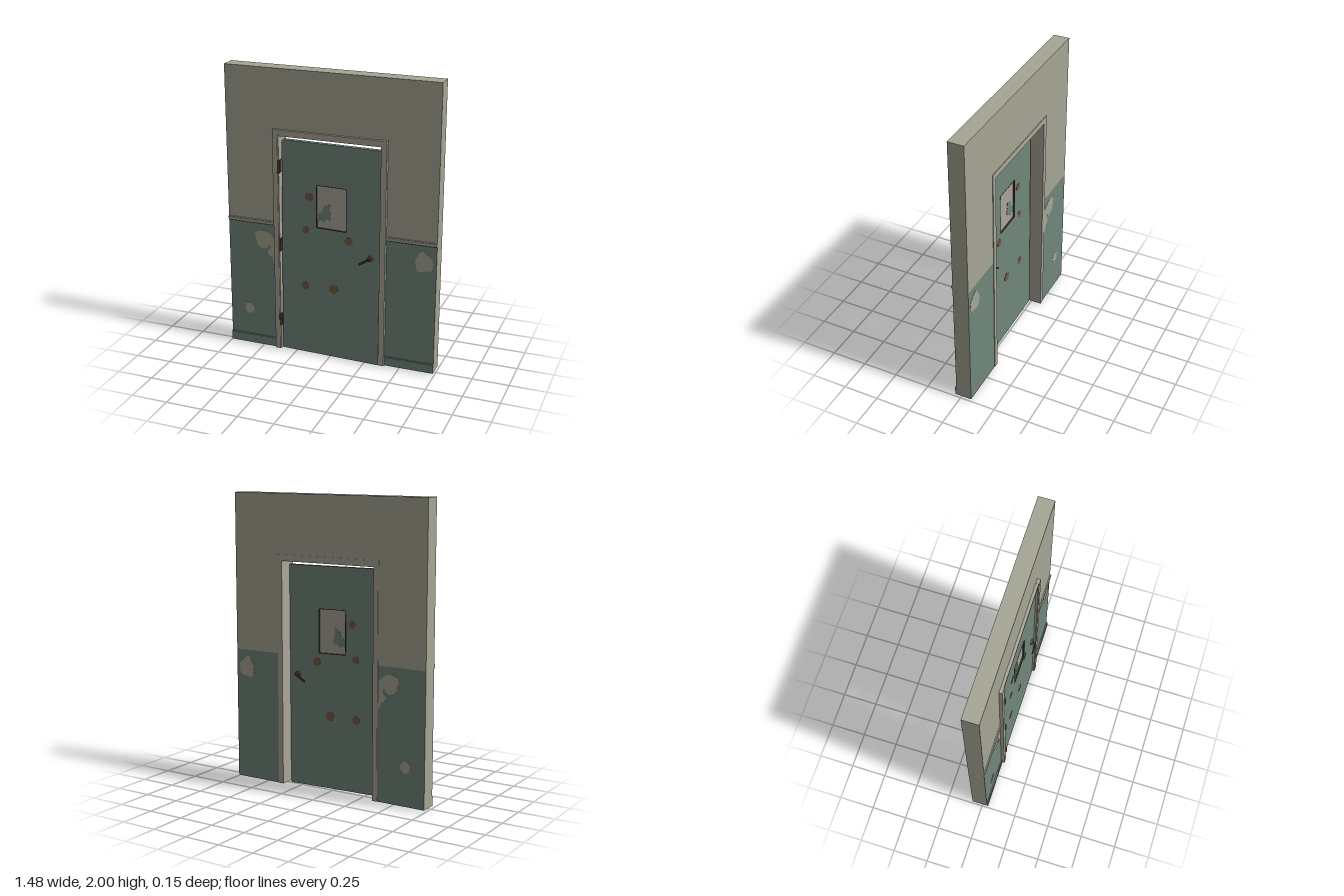
import * as THREE from 'three';

const mat = (name, color) => {
  const m = new THREE.MeshStandardMaterial({ color });
  m.name = name;
  return m;
};

export function createModel() {
  const plaster = mat('plaster', 0xa6a695);
  const trim = mat('trim', 0xaba698);
  const green = mat('green paint', 0x70877a);
  const rust = mat('rust', 0x765a45);
  const metal = mat('dark metal', 0x4a372c);
  const rubber = mat('gasket', 0x33302b);
  const glass = mat('dusty glass', 0xa9a597);

  const root = new THREE.Group();
  root.name = 'doorway';

  const add = (name, geometry, material, parent = root) => {
    const mesh = new THREE.Mesh(geometry, material);
    mesh.name = name;
    parent.add(mesh);
    return mesh;
  };
  // Box given by its minimum and maximum on each axis
  const box = (name, x0, x1, y0, y1, z0, z1, material, parent) => {
    const g = new THREE.BoxGeometry(x1 - x0, y1 - y0, z1 - z0);
    g.translate((x0 + x1) / 2, (y0 + y1) / 2, (z0 + z1) / 2);
    return add(name, g, material, parent);
  };
  const polygon = (pts) => new THREE.Shape(pts.map(([x, y]) => new THREE.Vector2(x, y)));
  const slab = (shape, z0, z1) => {
    const g = new THREE.ExtrudeGeometry(shape, { depth: z1 - z0, bevelEnabled: false, curveSegments: 6 });
    return g.translate(0, 0, z0);
  };
  // Irregular round outline; the seed varies the wobble
  const blob = (cx, cy, rx, ry, seed, wobble = 0.1) => {
    const pts = [];
    for (let i = 0; i < 20; i++) {
      const a = (i / 20) * Math.PI * 2;
      const k = 1 + wobble * (Math.sin(3 * a + seed) + 0.6 * Math.sin(5 * a + seed * 2.3));
      pts.push([cx + Math.cos(a) * rx * k, cy + Math.sin(a) * ry * k]);
    }
    return polygon(pts);
  };
  // Thin plates on the front and back surfaces
  const plates = (name, shape, zBack, zFront, material, parent) => {
    add(name + 'Front', slab(shape, zFront - 0.001, zFront + 0.0015), material, parent);
    add(name + 'Back', slab(shape, zBack - 0.0015, zBack + 0.001), material, parent);
  };

  // Wall
  const ZB = -0.075, ZF = 0.035, DADO = 0.92;
  add('upperWall', slab(polygon([
    [-0.74, DADO], [-0.375, DADO], [-0.375, 1.57], [0.375, 1.57],
    [0.375, DADO], [0.74, DADO], [0.74, 2], [-0.74, 2],
  ]), ZB, ZF), plaster);
  for (const s of [-1, 1]) {
    const side = s < 0 ? 'right' : 'left';
    const span = (a, b) => (s < 0 ? [-b, -a] : [a, b]);
    const [a, b] = span(0.375, 0.74);
    box(side + 'LowerWall', a, b, 0.01, DADO, ZB, ZF, [plaster, plaster, plaster, green, green, green]);
    const [c, d] = span(0.394, 0.74);
    box(side + 'ChairRail', c, d, 0.922, 0.946, ZF, 0.042, plaster);
    box(side + 'ChairRailLip', c, d, 0.928, 0.938, ZF, 0.046, plaster);
    box(side + 'ChairRailShadowGap', c, d, 0.915, 0.922, ZF, 0.039, rubber);
    box(side + 'Skirting', c, d, 0.01, 0.07, ZF, 0.044, green);
    box(side + 'SkirtingTop', c, d, 0.07, 0.077, ZF, 0.04, green);
    // Jamb post with stepped casing
    const [e, f] = span(0.355, 0.392);
    box(side + 'Jamb', e, f, 0.01, 1.595, -0.079, 0.054, trim);
    const [g, h] = span(0.361, 0.396);
    box(side + 'Casing', g, h, 0.01, 1.597, ZF, 0.059, trim);
  }

  // Frame head
  box('frameHead', -0.355, 0.355, 1.552, 1.595, -0.079, 0.05, trim);
  box('headCasing', -0.361, 0.361, 1.573, 1.595, ZF, 0.055, trim);

  // Flaked paint
  [
    blob(-0.483, 0.808, 0.063, 0.066, 0.4),
    polygon([[-0.46, 0.83], [-0.396, 0.83], [-0.396, 0.63], [-0.412, 0.64], [-0.42, 0.68], [-0.446, 0.69], [-0.456, 0.72], [-0.43, 0.75]]),
    blob(0.655, 0.798, 0.062, 0.07, 2.4),
    blob(-0.6, 0.273, 0.037, 0.04, 1.1, 0.06),
  ].forEach((s, i) => plates('flakedPaint' + (i + 1), s, ZB, ZF, plaster));

  // Sagging door leaf with window opening
  const door = new THREE.Group();
  door.name = 'door';
  root.add(door);
  const DB = 0.01, DF = 0.041;
  const pane = [[-0.091, 0.94], [0.114, 0.935], [0.119, 0.94], [0.119, 1.232], [0.112, 1.24], [-0.088, 1.243], [-0.095, 1.236], [-0.095, 0.946]];
  const leaf = polygon([[-0.349, 0.014], [0.341, 0.0], [0.349, 0.004], [0.353, 1.524], [-0.328, 1.53], [-0.336, 1.522]]);
  leaf.holes.push(polygon(pane));
  add('doorLeaf', slab(leaf, DB, DF), green, door);

  // Window
  const ring = polygon(pane);
  ring.holes.push(polygon(pane.map(([x, y]) => [0.012 + (x - 0.012) * 0.965, 1.089 + (y - 1.089) * 0.975])));
  add('windowGasket', slab(ring, DB - 0.001, DF + 0.001), rubber, door);
  add('windowPane', slab(polygon(pane), 0.02, 0.031), glass, door);
  const smear = polygon([[-0.088, 0.985], [-0.06, 1.0], [-0.045, 0.985], [-0.02, 1.01], [0.0, 1.0],
    [0.008, 1.04], [-0.005, 1.07], [0.0, 1.12], [-0.025, 1.105], [-0.05, 1.09], [-0.055, 1.06], [-0.085, 1.04]]);
  plates('windowPaintSmear', smear, 0.02, 0.031, green, door);

  // Rust spots
  [[-0.145, 1.152, 0.028], [-0.17, 0.918, 0.024], [0.134, 0.876, 0.028], [-0.177, 0.51, 0.028], [0.028, 0.512, 0.032]]
    .forEach(([x, y, r], i) => plates('rustSpot' + (i + 1), blob(x, y, r, r, i * 1.7, 0.04), DB, DF, rust, door));

  // Drooping lever handles on both faces
  for (const s of [1, -1]) {
    const handle = new THREE.Group();
    handle.name = s > 0 ? 'frontHandle' : 'backHandle';
    handle.position.set(0.287, 0.777, s > 0 ? DF : DB);
    door.add(handle);
    const disc = (name, r, len, material) =>
      add(name, new THREE.CylinderGeometry(r, r, len, 16).rotateX(Math.PI / 2).translate(0, 0, (s * len) / 2), material, handle);
    disc('rosette', 0.02, 0.012, rust);
    disc('spindle', 0.008, 0.031, metal);
    const lever = add('lever', new THREE.BoxGeometry(0.085, 0.012, 0.009), metal, handle);
    lever.position.set(-0.033, -0.02, s * 0.03);
    lever.rotation.z = 0.54;
  }

  // Hinges
  [0.235, 0.79, 1.345].forEach((y, i) => {
    const hinge = new THREE.Group();
    hinge.name = 'hinge' + (i + 1);
    root.add(hinge);
    box('hingeLeaf', -0.358, -0.345, y - 0.042, y + 0.042, 0.03, 0.056, metal, hinge);
    const pin = add('hingePin', new THREE.CylinderGeometry(0.008, 0.008, 0.09, 10), metal, hinge);
    pin.position.set(-0.356, y, 0.058);
  });

  return root;
}
